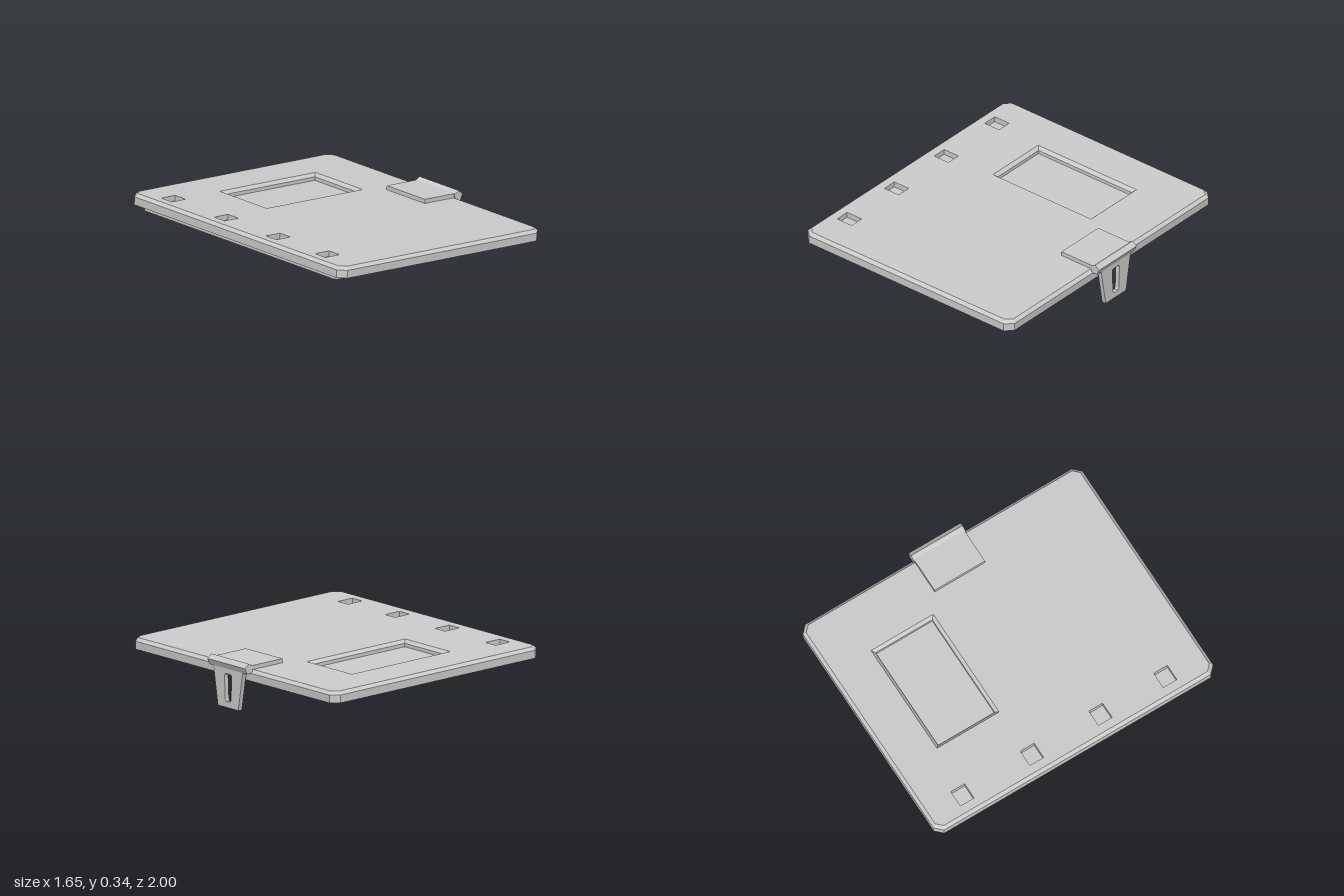
import * as THREE from 'three';

const material = new THREE.MeshStandardMaterial({ color: 0xcccccc, flatShading: true });

function part(name, geometry, x = 0, y = 0, z = 0) {
  const mesh = new THREE.Mesh(geometry, material);
  mesh.name = name;
  mesh.position.set(x, y, z);
  return mesh;
}

// Counter-clockwise rectangle in plan (second coordinate is -z), with optional cut corners
function outline(x, z, hx, hz, cut = 0) {
  const corners = cut
    ? [[hx, -hz + cut], [hx, hz - cut], [hx - cut, hz], [-hx + cut, hz],
      [-hx, hz - cut], [-hx, -hz + cut], [-hx + cut, -hz], [hx - cut, -hz]]
    : [[hx, -hz], [hx, hz], [-hx, hz], [-hx, -hz]];
  return corners.map(([a, b]) => new THREE.Vector2(x + a, b - z));
}

// Walls through a stack of outlines; rising stacks face out, sinking stacks face in
function walls(name, rings) {
  const pos = [];
  for (let r = 0; r < rings.length - 1; r++) {
    const [a, ya] = rings[r], [b, yb] = rings[r + 1];
    a.forEach((p, i) => {
      const j = (i + 1) % a.length;
      const A = [p.x, ya, -p.y], B = [a[j].x, ya, -a[j].y];
      const C = [b[j].x, yb, -b[j].y], D = [b[i].x, yb, -b[i].y];
      pos.push(...A, ...B, ...C, ...A, ...C, ...D);
    });
  }
  const g = new THREE.BufferGeometry();
  g.setAttribute('position', new THREE.Float32BufferAttribute(pos, 3));
  g.computeVertexNormals();
  return part(name, g);
}

function cap(name, points, y, holes = [], down = false) {
  const shape = new THREE.Shape(points);
  holes.forEach((h) => shape.holes.push(new THREE.Path(h)));
  return part(name, new THREE.ShapeGeometry(shape).rotateX(down ? Math.PI / 2 : -Math.PI / 2), 0, y);
}

function createBoard() {
  const board = new THREE.Group();
  board.name = 'board';
  const edge = outline(0, 0, 0.8, 1, 0.047);
  const topEdge = outline(0, 0, 0.78, 0.98, 0.037);

  // Chamfered rim and underside
  board.add(walls('boardRim', [[edge, -0.07], [edge, -0.02], [topEdge, 0]]));
  board.add(cap('boardUnderside', edge, -0.07, [], true));

  // Window recess with a bevelled lip
  const lip = outline(0.0525, -0.4875, 0.38, 0.2225);
  const inner = outline(0.0525, -0.4875, 0.36, 0.2025);
  board.add(walls('windowWalls', [[lip, 0], [inner, -0.02], [inner, -0.042]]));
  board.add(cap('windowFloor', inner, -0.042));

  // Row of square pockets
  const pockets = [-0.74, -0.243, 0.247, 0.71].map((z) => outline(-0.67, z, 0.055, 0.049));
  pockets.forEach((p) => {
    board.add(walls('pocketWalls', [[p, 0], [p, -0.035]]));
    board.add(cap('pocketFloor', p, -0.035));
  });

  board.add(cap('boardTop', topEdge, 0, [lip, ...pockets]));

  // Raised panel underneath
  board.add(part('lowerPanel', new THREE.BoxGeometry(1.465, 0.032, 1.8), -0.03, -0.085));

  // Hinge plate on top
  board.add(part('hingePlate', new THREE.BoxGeometry(0.25, 0.026, 0.36), 0.677, 0.013));

  board.position.set(-0.0225, 0.3, 0);
  board.rotation.z = -0.047;
  return board;
}

// Tapered leg with a slot
function createLeg() {
  const shape = new THREE.Shape();
  shape.moveTo(-0.1, 0);
  shape.lineTo(0.1, 0);
  shape.lineTo(0.147, 0.26);
  shape.lineTo(-0.147, 0.26);
  const slot = new THREE.Path();
  slot.moveTo(-0.02, 0.037);
  slot.lineTo(-0.028, 0.05);
  slot.lineTo(-0.035, 0.195);
  slot.lineTo(-0.028, 0.21);
  slot.lineTo(0.028, 0.21);
  slot.lineTo(0.035, 0.195);
  slot.lineTo(0.028, 0.05);
  slot.lineTo(0.02, 0.037);
  shape.holes.push(slot);
  const g = new THREE.ExtrudeGeometry(shape, { depth: 0.028, bevelEnabled: false });
  return part('leg', g.rotateY(Math.PI / 2), 0.781, 0, 0);
}

export function createModel() {
  const model = new THREE.Group();
  model.name = 'foldingBoard';
  model.add(createBoard(), createLeg());

  // Five-sided hinge barrel
  const barrel = new THREE.CylinderGeometry(0.034, 0.034, 0.37, 5).rotateX(Math.PI / 2);
  barrel.rotateZ(THREE.MathUtils.degToRad(-5 + 180));
  const hinge = part('hingeBarrel', barrel, 0.791, 0.27, 0);
  // Point one corner of the barrel upward
  const p = barrel.attributes.position;
  hinge.rotation.z = THREE.MathUtils.degToRad(85) - Math.atan2(p.getY(0), p.getX(0));
  model.add(hinge);
  return model;
}
